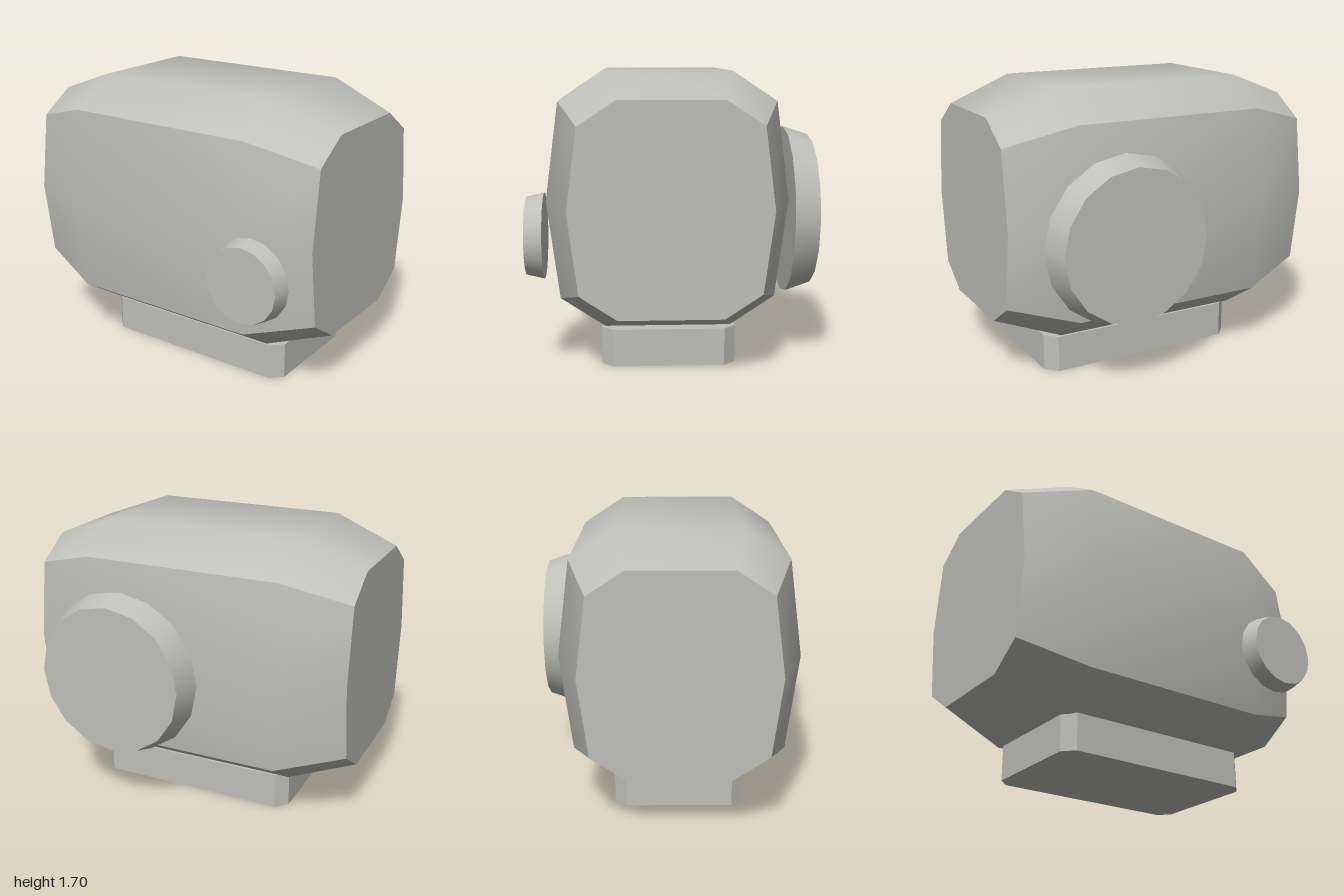
import * as THREE from 'three';
import { toCreasedNormals } from 'three/addons/utils/BufferGeometryUtils.js';

// Closed barrel lofted along x through scaled copies of a ten-sided section
function barrelGeometry() {
  const section = [
    [0.70, 0], [0.625, 0.57], [0.365, 0.742], [-0.365, 0.742], [-0.625, 0.57],
    [-0.70, 0], [-0.625, -0.57], [-0.365, -0.742], [0.365, -0.742], [0.625, -0.57],
  ];
  const rings = [[-1, 0.803], [-0.6, 1], [0.6, 1], [1, 0.803]];
  const n = section.length;
  const positions = [];
  const index = [];
  for (const [x, s] of rings) {
    for (const [z, y] of section) positions.push(x, 0.957 + y * s, 0.025 + z * s);
  }
  for (let k = 0; k < rings.length - 1; k++) {
    for (let i = 0; i < n; i++) {
      const j = (i + 1) % n;
      const a = k * n + i, b = a + n, c = (k + 1) * n + j, d = k * n + j;
      index.push(a, b, c, a, c, d);
    }
  }
  // Flat end caps
  const last = (rings.length - 1) * n;
  for (let i = 1; i < n - 1; i++) {
    index.push(0, i, i + 1);
    index.push(last, last + i + 1, last + i);
  }
  const geometry = new THREE.BufferGeometry();
  geometry.setAttribute('position', new THREE.Float32BufferAttribute(positions, 3));
  geometry.setIndex(index);
  return toCreasedNormals(geometry, 0.7);
}

// Rectangular foot with chamfered vertical corners
function footGeometry(width, depth, height, chamfer) {
  const w = width / 2, d = depth / 2, c = chamfer;
  const outline = [
    [w, -d + c], [w, d - c], [w - c, d], [-w + c, d],
    [-w, d - c], [-w, -d + c], [-w + c, -d], [w - c, -d],
  ].map(([x, y]) => new THREE.Vector2(x, y));
  const geometry = new THREE.ExtrudeGeometry(new THREE.Shape(outline), {
    depth: height, bevelEnabled: false,
  });
  return geometry.rotateX(-Math.PI / 2);
}

export function createModel() {
  const grey = new THREE.MeshStandardMaterial({ color: 0xbfbfbb });
  grey.name = 'lightGrey';
  const model = new THREE.Group();
  model.name = 'housing';

  const add = (name, geometry, x = 0, y = 0, z = 0) => {
    const mesh = new THREE.Mesh(geometry, grey);
    mesh.name = name;
    mesh.position.set(x, y, z);
    model.add(mesh);
  };

  add('body', barrelGeometry());
  add('foot', footGeometry(1.29, 0.775, 0.22, 0.067), 0.055, 0, 0.0225);

  // Tapered round discs on the front and back
  const disc = (outer, inner, thickness, sides) =>
    new THREE.CylinderGeometry(outer, inner, thickness, sides);
  add('frontDisc', disc(0.222, 0.245, 0.1, 16).rotateX(Math.PI / 2), 0.7, 0.78, 0.775);
  add('backDisc', disc(0.45, 0.5, 0.15, 16).rotateX(-Math.PI / 2), 0.35, 0.865, -0.75);

  return model;
}
